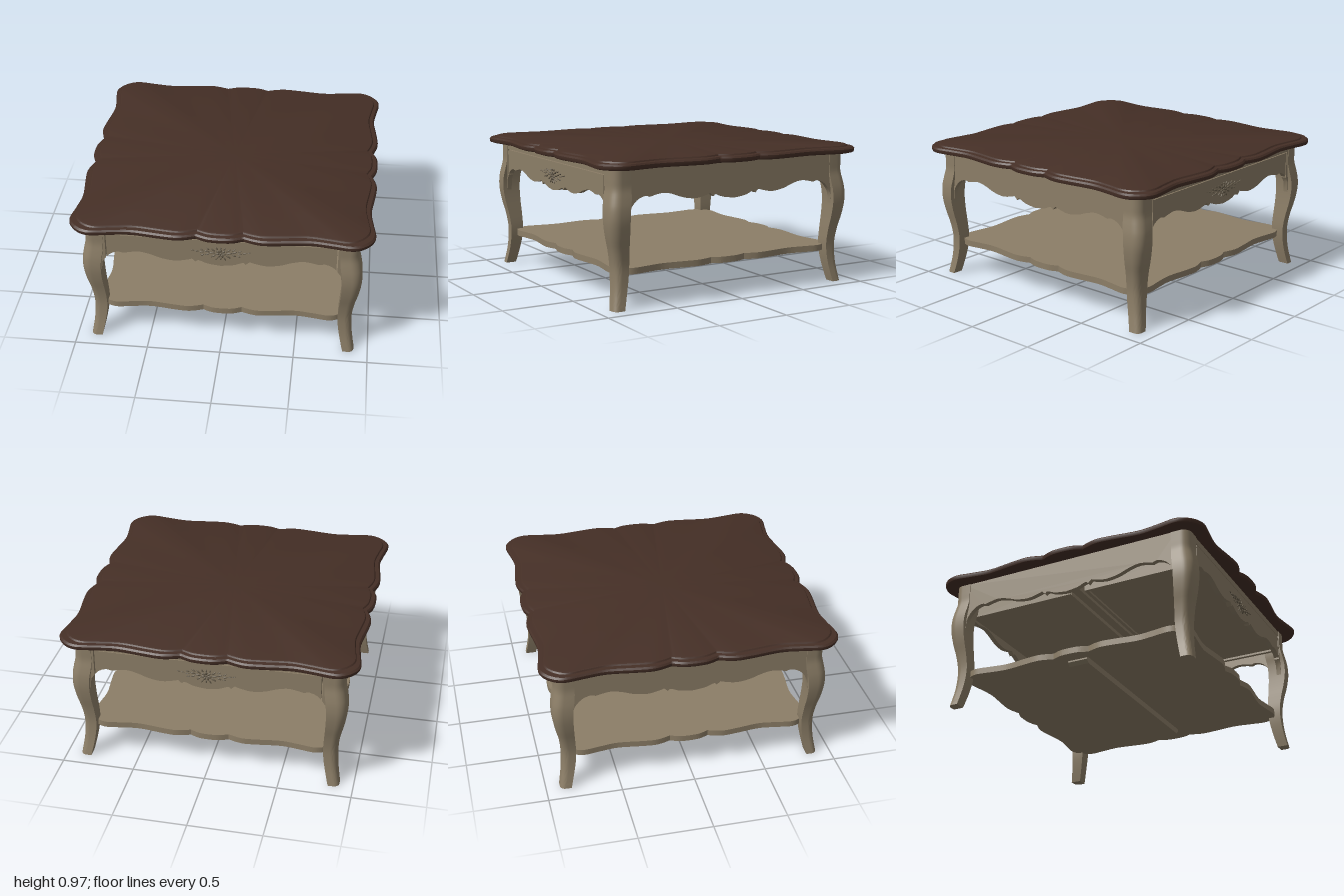
import * as THREE from 'three';
import { toCreasedNormals } from 'three/addons/utils/BufferGeometryUtils.js';

const V2 = (p) => new THREE.Vector2(p[0], p[1]);
const spline = (pts, n) => new THREE.SplineCurve(pts.map(V2)).getPoints(n);

// Closed solid from rings of [x, y, z] points, bottom to top, with fan caps
function loft(rings, crease = 0.6) {
  const n = rings[0].length, pos = [], index = [];
  rings.forEach((r) => r.forEach((p) => pos.push(...p)));
  for (let i = 0; i < rings.length - 1; i++) {
    for (let j = 0; j < n; j++) {
      const a = i * n + j, b = i * n + (j + 1) % n;
      index.push(a, b, b + n, a, b + n, a + n);
    }
  }
  [0, rings.length - 1].forEach((k) => {
    const c = pos.length / 3, m = [0, 1, 2].map((d) => rings[k].reduce((s, p) => s + p[d], 0) / n);
    pos.push(...m);
    for (let j = 0; j < n; j++) {
      const a = k * n + j, b = k * n + (j + 1) % n;
      if (k) index.push(a, b, c); else index.push(b, a, c);
    }
  });
  const g = new THREE.BufferGeometry();
  g.setAttribute('position', new THREE.Float32BufferAttribute(pos, 3));
  g.setIndex(index);
  return toCreasedNormals(g, crease);
}

// Scalloped square outline: one eighth, then mirrored and turned four times
function scallopOutline() {
  const bulge = spline([[0, 1], [0.08, 0.994], [0.155, 0.965]], 8);
  const wave = spline([[0.155, 0.965], [0.22, 0.987], [0.29, 0.998], [0.4, 0.988], [0.58, 0.967],
    [0.72, 0.982], [0.84, 1], [0.905, 0.987], [0.953, 0.953]], 36);
  const eighth = [...bulge, ...wave.slice(1)].map((p) => [p.x, p.y]);
  const side = [...eighth, ...eighth.slice(1, -1).reverse().map(([x, z]) => [z, x]), [1, 0]].slice(0, -1);
  const out = [];
  let turn = side;
  for (let k = 0; k < 4; k++) {
    out.push(...turn);
    turn = turn.map(([x, z]) => [z, -x]);
  }
  return out;
}

export function createModel() {
  const table = new THREE.Group();
  table.name = 'coffeeTable';
  const walnut = new THREE.MeshStandardMaterial({ color: 0x452f26 });
  walnut.name = 'dark walnut';
  const taupe = new THREE.MeshStandardMaterial({ color: 0x8c7e67 });
  taupe.name = 'taupe paint';
  const shade = new THREE.MeshStandardMaterial({ color: 0x655b4a });
  shade.name = 'dark taupe';

  const add = (parent, name, geo, mat, x = 0, y = 0, z = 0) => {
    const m = new THREE.Mesh(geo, mat);
    m.name = name;
    m.position.set(x, y, z);
    parent.add(m);
    return m;
  };
  const box = (parent, name, w, h, d, x, y, z) =>
    add(parent, name, new THREE.BoxGeometry(w, h, d), taupe, x, y, z);

  // Table top with a moulded edge
  const outline = scallopOutline();
  const ring = (s, y) => outline.map(([x, z]) => [x * s, y, z * s]);
  add(table, 'tableTop', loft([[0.975, 0.911], [0.996, 0.918], [1, 0.928], [1, 0.942], [0.99, 0.953],
    [0.964, 0.956], [0.958, 0.965], [0.948, 0.968]].map(([s, y]) => ring(s, y))), walnut);

  // Shelf: a slab over a rim that leaves a recessed underside
  const s = 0.85;
  add(table, 'shelf', loft([ring(s, 0.24), ring(s, 0.262)]), taupe);
  const rim = new THREE.Shape(outline.map(([x, z]) => new THREE.Vector2(x * s, z * s)));
  const h = 0.75;
  rim.holes.push(new THREE.Path([[-h, -h], [-h, h], [h, h], [h, -h]].map(V2)));
  const rimGeo = new THREE.ExtrudeGeometry(rim, { depth: 0.021, bevelEnabled: false });
  rimGeo.rotateX(-Math.PI / 2);
  add(table, 'shelfRim', rimGeo, taupe, 0, 0.22, 0);

  // Batten under the shelf, with sloping ends
  const batten = new THREE.Shape([[-0.705, 0.198], [0.705, 0.198], [0.73, 0.22], [0.73, 0.241],
    [-0.73, 0.241], [-0.73, 0.22]].map(V2));
  add(table, 'shelfBatten', new THREE.ExtrudeGeometry(batten, { depth: 0.145, bevelEnabled: false }),
    taupe, 0, 0, -0.0725);

  // Cabriole legs: [height, inner, outer] sections with a rounded outer corner
  const legCurve = new THREE.CatmullRomCurve3([
    [0, 0.83, 0.905], [0.05, 0.818, 0.896], [0.12, 0.803, 0.885], [0.2, 0.79, 0.879], [0.28, 0.785, 0.879],
    [0.38, 0.79, 0.893], [0.48, 0.797, 0.916], [0.58, 0.8, 0.93], [0.66, 0.795, 0.928],
    [0.72, 0.785, 0.918], [0.78, 0.78, 0.906], [0.84, 0.78, 0.905], [0.913, 0.78, 0.905],
  ].map(([y, a, b]) => new THREE.Vector3(a, y, b)));
  const legRings = legCurve.getPoints(40).map(({ x: a, y, z: b }) => {
    const r = (b - a) * 0.5, pts = [[a, y, a], [a, y, b]];
    for (let i = 0; i <= 8; i++) {
      const t = (i / 8) * Math.PI / 2;
      pts.push([b - r + r * Math.sin(t), y, b - r + r * Math.cos(t)]);
    }
    pts.push([b, y, a]);
    return pts;
  });
  const legGeo = loft(legRings, 0.7);
  for (let k = 0; k < 4; k++) add(table, 'leg', legGeo, taupe).rotation.y = k * Math.PI / 2;

  // Scalloped lower edge shared by aprons and drawer fronts
  const edge = [
    ...spline([[0.645, 0.722], [0.55, 0.74], [0.47, 0.725], [0.39, 0.697], [0.3, 0.685], [0.22, 0.7], [0.19, 0.71]], 24),
    ...spline([[0.165, 0.686], [0.145, 0.7], [0.085, 0.677], [0, 0.665]], 12),
  ].map((p) => [p.x, p.y]);
  const arch = spline([[0.8, 0.56], [0.79, 0.64], [0.74, 0.705], [0.68, 0.73], [0.645, 0.722]], 14).map((p) => [p.x, p.y]);
  const plate = (pts) => toCreasedNormals(new THREE.ExtrudeGeometry(new THREE.Shape(pts.map(V2)),
    { depth: 0.035, bevelEnabled: false }), 0.5);
  const mirrored = (half) => plate([...half, ...half.slice(0, -1).reverse().map(([x, y]) => [-x, y])]);
  const sideGeo = mirrored([[0.82, 0.913], [0.82, 0.56], ...arch.slice(0, -1), ...edge]);
  const drawerGeo = mirrored([[0.758, 0.863], [0.758, 0.685], [0.74, 0.705], [0.71, 0.722], [0.68, 0.73], ...edge]);
  const bracket = [[0.82, 0.56], [0.82, 0.872], [0.766, 0.872], [0.766, 0.675], [0.79, 0.64], [0.8, 0.56]];
  const bracketGeos = [1, -1].map((d) => plate(bracket.map(([x, y]) => [x * d, y])));

  [1, -1].forEach((d) => {
    add(table, 'sideApron', sideGeo, taupe, d * 0.865, 0, 0).rotation.y = Math.PI / 2;
    if (d < 0) table.children[table.children.length - 1].position.x = -0.9;

    // Drawer end, repeated front and back
    const end = new THREE.Group();
    end.name = d > 0 ? 'frontDrawer' : 'backDrawer';
    end.rotation.y = d > 0 ? 0 : Math.PI;
    table.add(end);
    add(end, 'drawerFront', drawerGeo, taupe, 0, 0, 0.865);
    bracketGeos.forEach((g) => add(end, 'apronBracket', g, taupe, 0, 0, 0.865));
    box(end, 'apronRail', 1.64, 0.045, 0.035, 0, 0.8905, 0.8825);
    box(end, 'drawerBottom', 1.46, 0.01, 0.8, 0, 0.75, 0.465);
    box(end, 'drawerBack', 1.46, 0.11, 0.025, 0, 0.785, 0.065);
    [1, -1].forEach((e) => box(end, 'drawerSide', 0.025, 0.11, 0.81, e * 0.735, 0.785, 0.46));

    // Carved spray: flower, buds and mirrored leaves
    const carving = new THREE.Group();
    carving.name = 'carving';
    carving.position.set(0, 0.765, 0.9);
    end.add(carving);
    const petal = (x, y, len, wid, angle) => {
      const m = add(carving, 'carvedLeaf', new THREE.SphereGeometry(1, 10, 6), shade, x, y, 0);
      m.scale.set(len, wid, 0.007);
      m.rotation.z = angle;
    };
    for (let i = 0; i < 7; i++) {
      const t = (i / 7) * Math.PI * 2 + Math.PI / 2;
      petal(0.022 * Math.cos(t), 0.022 * Math.sin(t), 0.014, 0.008, t);
    }
    petal(0, 0, 0.008, 0.008, 0);
    petal(0, 0.042, 0.008, 0.005, Math.PI / 2);
    petal(0, -0.042, 0.011, 0.005, Math.PI / 2);
    [[0.055, 0.004, 0.02, 0.007, 0.1], [0.05, 0.026, 0.018, 0.006, 0.7], [0.05, -0.022, 0.018, 0.006, -0.6],
      [0.09, 0.014, 0.018, 0.006, 0.3], [0.088, -0.01, 0.016, 0.006, -0.4], [0.085, 0.034, 0.014, 0.005, 0.5],
      [0.125, 0.006, 0.016, 0.005, 0], [0.124, 0.024, 0.013, 0.005, 0.5], [0.12, -0.016, 0.012, 0.005, -0.3],
      [0.158, 0.013, 0.014, 0.004, 0.2], [0.186, 0.018, 0.011, 0.004, 0.3], [0.026, -0.04, 0.014, 0.005, -1],
      [0.026, 0.04, 0.012, 0.005, 1]].forEach(([x, y, l, w, a]) => {
      petal(x, y, l, w, a);
      petal(-x, y, l, w, -a);
    });
  });

  // Cross rail between the two drawers
  box(table, 'crossRail', 1.74, 0.18, 0.06, 0, 0.823, 0);
  return table;
}
